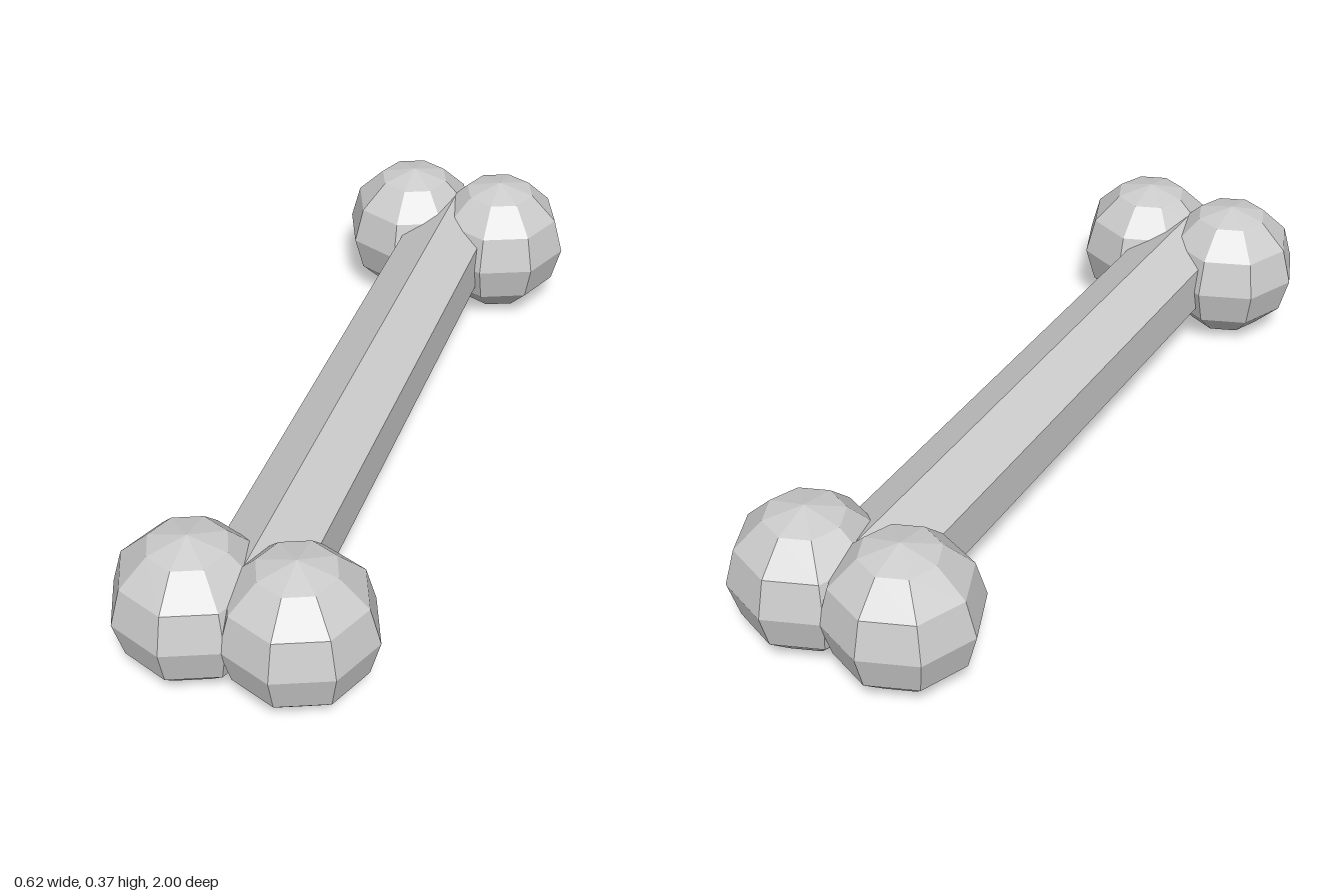
import * as THREE from 'three';

export function createModel() {
  const group = new THREE.Group();
  group.name = 'bone';
  const material = new THREE.MeshStandardMaterial({ color: 0xcccccc, flatShading: true });

  const R = 0.186;        // knob radius, also the height of the centre line
  const knobX = 0.124;
  const knobZ = 1 - R;

  // Six-sided shaft with a ridge along the top
  const shaftGeometry = new THREE.CylinderGeometry(0.124, 0.124, knobZ * 2, 6);
  shaftGeometry.rotateX(Math.PI / 2);
  const shaft = new THREE.Mesh(shaftGeometry, material);
  shaft.name = 'shaft';
  shaft.position.y = R + 0.002;
  group.add(shaft);

  // Two faceted knobs at each end
  const knobGeometry = new THREE.SphereGeometry(R, 8, 6);
  for (const [end, sz] of [['front', 1], ['back', -1]]) {
    for (const [side, sx] of [['Left', 1], ['Right', -1]]) {
      const knob = new THREE.Mesh(knobGeometry, material);
      knob.name = `${end}${side}Knob`;
      knob.position.set(sx * knobX, R, sz * knobZ);
      group.add(knob);
    }
  }
  return group;
}
